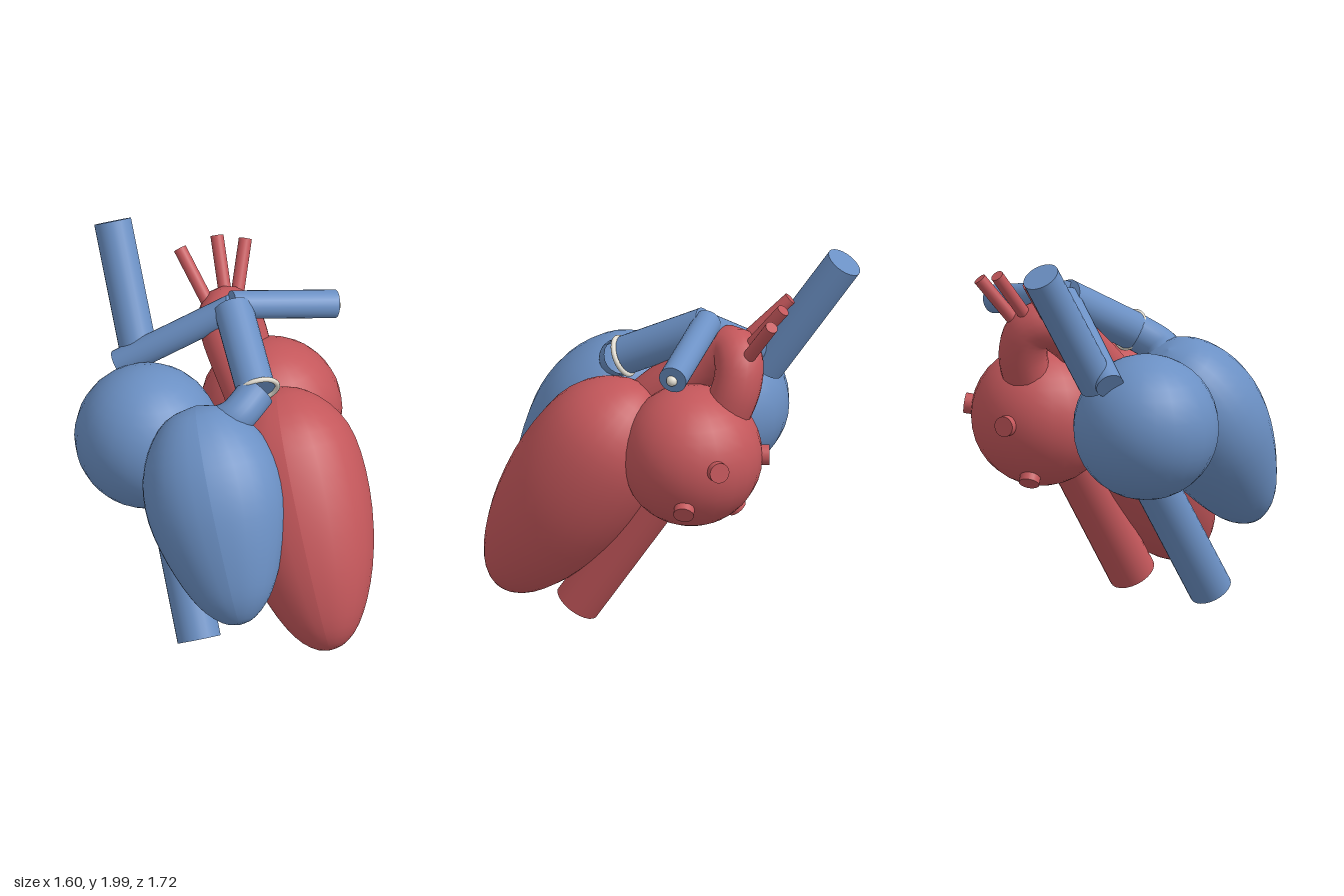
import * as THREE from 'three';

const V = (p) => new THREE.Vector3(...p);
const mat = (color) => new THREE.MeshStandardMaterial({ color, side: THREE.DoubleSide });

export function createModel() {
  const heart = new THREE.Group();
  heart.name = 'heart';
  const blue = mat(0x6b90c4), red = mat(0xc4575b), white = mat(0xe4dfd3);

  const add = (name, geometry, material) => {
    const mesh = new THREE.Mesh(geometry, material);
    mesh.name = name;
    heart.add(mesh);
    return mesh;
  };
  // turns a mesh whose axis is `axis` so that it runs along a -> b
  const aim = (mesh, a, b, axis = [0, 1, 0]) =>
    mesh.quaternion.setFromUnitVectors(V(axis), V(b).sub(V(a)).normalize());

  const pipe = (name, a, b, r, material) => {
    const mesh = add(name, new THREE.CylinderGeometry(r, r, V(a).distanceTo(V(b)), 24), material);
    mesh.position.copy(V(a).add(V(b)).multiplyScalar(0.5));
    aim(mesh, a, b);
    return mesh;
  };
  const ball = (name, c, r, material) =>
    add(name, new THREE.SphereGeometry(r, 24, 18), material).position.set(...c);
  const tube = (name, points, r, material) =>
    add(name, new THREE.TubeGeometry(new THREE.CatmullRomCurve3(points.map(V)), 36, r, 20), material);

  // egg-shaped chamber: profile of [distance from tip, radius]
  const ventricle = (name, tip, top, profile, depth, material) => {
    const curve = new THREE.SplineCurve(profile.map(([s, r]) => new THREE.Vector2(r, s)));
    const pts = curve.getPoints(24);
    pts.forEach((p) => { p.x = Math.max(p.x, 0); });
    const geometry = new THREE.LatheGeometry(pts, 28);
    geometry.scale(1, 1, depth);
    geometry.computeVertexNormals();
    const mesh = add(name, geometry, material);
    mesh.position.set(...tip);
    aim(mesh, tip, top);
  };

  // chambers
  ventricle('leftVentricle', [0.58, 0.14, 0.6], [0.28, 1.32, -0.12],
    [[0, 0], [0.02, 0.08], [0.1, 0.17], [0.25, 0.255], [0.45, 0.325], [0.7, 0.37], [0.95, 0.375],
      [1.15, 0.34], [1.3, 0.25], [1.4, 0.12], [1.43, 0]], 1, red);
  ventricle('rightVentricle', [0.1, 0.4, 0.76], [-0.14, 1.37, 0.17],
    [[0, 0], [0.02, 0.08], [0.11, 0.18], [0.25, 0.26], [0.45, 0.335], [0.65, 0.375], [0.85, 0.36],
      [1.03, 0.28], [1.15, 0.16], [1.19, 0]], 0.88, blue);
  const leftAtrium = [0.24, 1.02, -0.41];
  ball('leftAtrium', leftAtrium, 0.38, red);
  ball('rightAtrium', [-0.41, 1.04, -0.09], 0.39, blue);

  // great veins
  pipe('upperVein', [-0.45, 1.3, -0.39], [-0.61, 1.94, -0.79], 0.1, blue);
  pipe('lowerVein', [-0.125, 0.075, 0.41], [-0.34, 0.94, -0.13], 0.117, blue);

  // aorta: ascending part and arch, then the descending part
  tube('aorticArch', [[0.22, 1.1, 0.05], [0.12, 1.3, -0.14], [0.0, 1.5, -0.38], [-0.02, 1.56, -0.49],
    [0.03, 1.52, -0.57], [0.08, 1.4, -0.59], [0.13, 1.2, -0.53]], 0.13, red);
  pipe('descendingAorta', [0.435, 0.085, 0.2], [0.18, 1.1, -0.43], 0.127, red);
  [
    [[-0.08, 1.58, -0.5], [-0.25, 1.83, -0.7]],
    [[0.0, 1.57, -0.58], [-0.055, 1.85, -0.8]],
    [[0.05, 1.54, -0.62], [0.095, 1.81, -0.835]],
  ].forEach(([a, b], i) => pipe(`archBranch${i + 1}`, a, b, 0.035, red));

  // four short veins standing out of the left atrium
  [[0.21, 0.05, -0.34], [0.3, -0.19, -0.175], [-0.24, 0, -0.32], [-0.195, -0.33, -0.16]].forEach((d, i) => {
    const dir = V(d).normalize();
    const at = (s) => V(leftAtrium).addScaledVector(dir, s).toArray();
    pipe(`atriumVein${i + 1}`, at(0.3), at(0.415), 0.055, red);
  });

  // pulmonary artery: root, valve ring, trunk and two branches
  tube('pulmonaryRoot', [[-0.04, 1.3, 0.2], [0.06, 1.36, 0.21], [0.18, 1.45, 0.09]], 0.1, blue);
  const trunkStart = [0.17, 1.45, 0.08], fork = [0.04, 1.68, -0.36];
  pipe('pulmonaryTrunk', trunkStart, fork, 0.105, blue);
  const ring = add('valveRing', new THREE.TorusGeometry(0.103, 0.014, 10, 32), white);
  ring.position.set(0.185, 1.45, 0.08);
  aim(ring, trunkStart, fork, [0, 0, 1]);
  pipe('leftPulmonaryBranch', [0.03, 1.7, -0.36], [0.58, 1.595, -0.54], 0.076, blue);
  pipe('rightPulmonaryBranch', [0.04, 1.68, -0.36], [-0.57, 1.31, -0.37], 0.076, blue);
  ball('branchEndBead', [0.58, 1.59, -0.535], 0.03, white);

  return heart;
}
